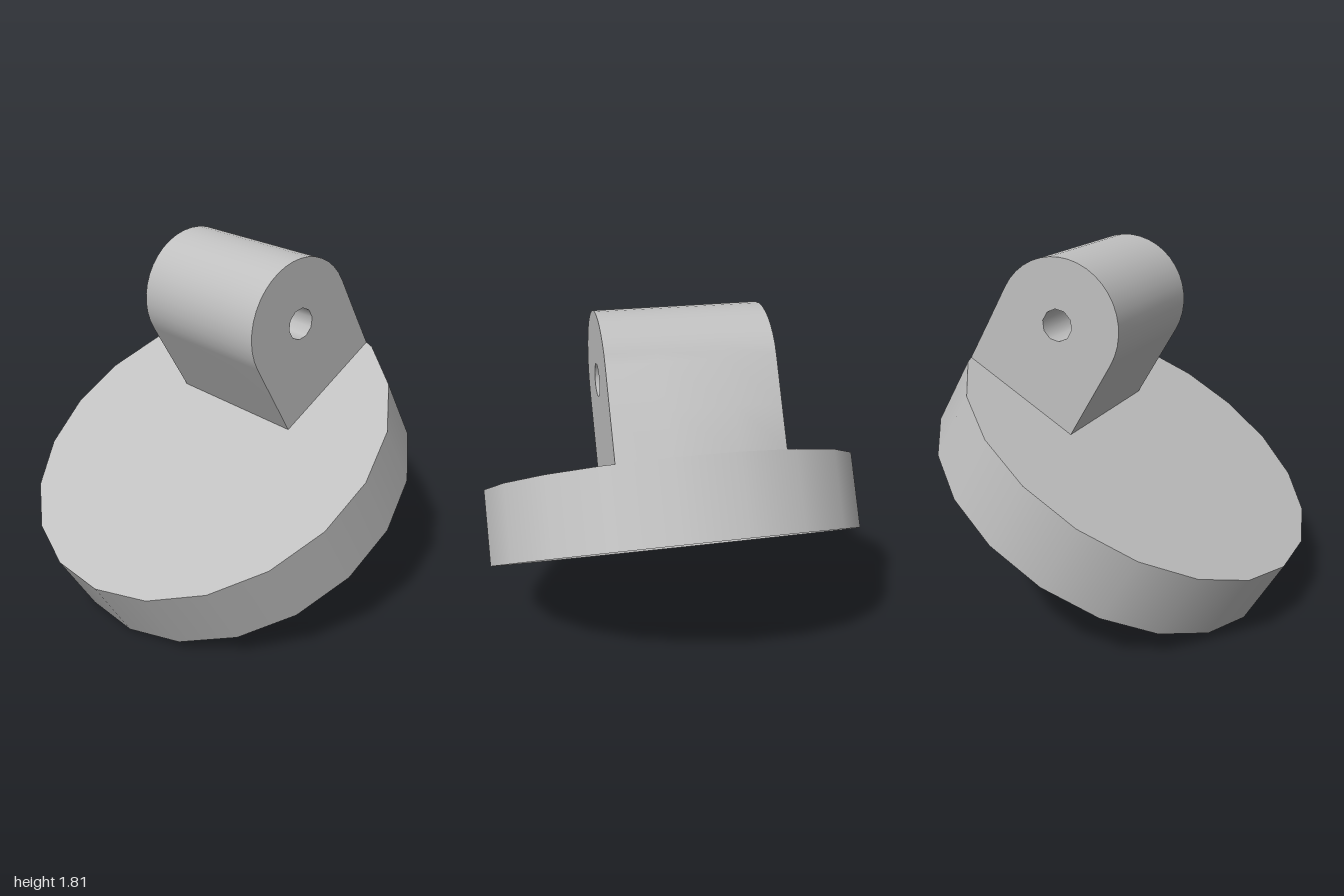
import * as THREE from 'three';

const SIDES = 20, RADIUS = 0.983, DEPTH = 0.385;   // cup
const HALF = 0.397, ARCH = 0.328, CU = 0.565, CV = 0.441, HOLE = 0.08; // lug
const STEP = Math.PI / SIDES;

// Distance of the cup's faceted rim from its axis plane at depth w
function rim(w) {
  const [x1, z1, x2, z2] = [Math.cos(STEP), Math.sin(STEP), Math.cos(3 * STEP), Math.sin(3 * STEP)].map(n => n * RADIUS);
  const t = Math.max(0, (Math.abs(w) - z1) / (z2 - z1));
  return x1 + (x2 - x1) * t;
}

// Lug outline at depth w: straight left side, round top, right side swelling out to the rim
function profile(w) {
  const pts = [new THREE.Vector2(CU - ARCH, 0)];
  for (let i = 0; i <= 20; i++) {
    const a = Math.PI * (1 - i / 20);
    pts.push(new THREE.Vector2(CU + ARCH * Math.cos(a), CV + ARCH * Math.sin(a)));
  }
  pts.push(new THREE.Vector2(rim(w), 0.21), new THREE.Vector2(rim(w), 0));
  return pts;
}

// Skin lofted through the outlines
function lugSkin() {
  const z1 = RADIUS * Math.sin(STEP);
  const slices = [-HALF, -z1, z1, HALF];
  const pos = [], index = [];
  let n = 0;
  slices.forEach((w, i) => {
    const pts = profile(w);
    n = pts.length;
    pts.forEach((p, j) => {
      pos.push(p.x, p.y, w);
      if (i < slices.length - 1 && j < n - 1) {
        const a = i * n + j;
        index.push(a, a + n, a + 1, a + 1, a + n, a + n + 1);
      }
    });
  });
  const geo = new THREE.BufferGeometry();
  geo.setAttribute('position', new THREE.Float32BufferAttribute(pos, 3));
  geo.setIndex(index);
  geo.computeVertexNormals();
  return geo;
}

export function createModel() {
  const grey = new THREE.MeshStandardMaterial({ color: 0xc0c0c0, side: THREE.DoubleSide });
  grey.name = 'light grey';
  const model = new THREE.Group();
  model.name = 'tiltedCupWithLug';
  const add = (name, geo) => {
    const mesh = new THREE.Mesh(geo, grey);
    mesh.name = name;
    model.add(mesh);
    return mesh;
  };

  // Shallow cup, open underneath
  add('cupWall', new THREE.CylinderGeometry(RADIUS, RADIUS, DEPTH, SIDES, 1, true, STEP)).position.y = -DEPTH / 2;
  add('cupTop', new THREE.CircleGeometry(RADIUS, SIDES, STEP)).rotation.x = -Math.PI / 2;

  // Rounded lug with a pin hole through it
  add('lugSkin', lugSkin());
  for (const side of [-1, 1]) {
    const shape = new THREE.Shape(profile(HALF));
    const ring = [];
    for (let i = 0; i < 10; i++) {
      const a = i * Math.PI / 5;
      ring.push(new THREE.Vector2(CU + HOLE * Math.sin(a), CV + HOLE * Math.cos(a)));
    }
    shape.holes.push(new THREE.Path(ring));
    add(side > 0 ? 'lugFront' : 'lugBack', new THREE.ShapeGeometry(shape)).position.z = side * HALF;
  }
  const bore = add('pinHole', new THREE.CylinderGeometry(HOLE, HOLE, 2 * HALF, 10, 1, true));
  bore.rotation.x = Math.PI / 2;
  bore.position.set(CU, CV, 0);

  // Overall tilt and turn
  model.rotation.set(0, THREE.MathUtils.degToRad(-10.5), Math.PI / 6, 'YZX');
  model.position.set(-0.095, 0.82, -0.017);
  const root = new THREE.Group();
  root.name = 'model';
  root.add(model);
  return root;
}
